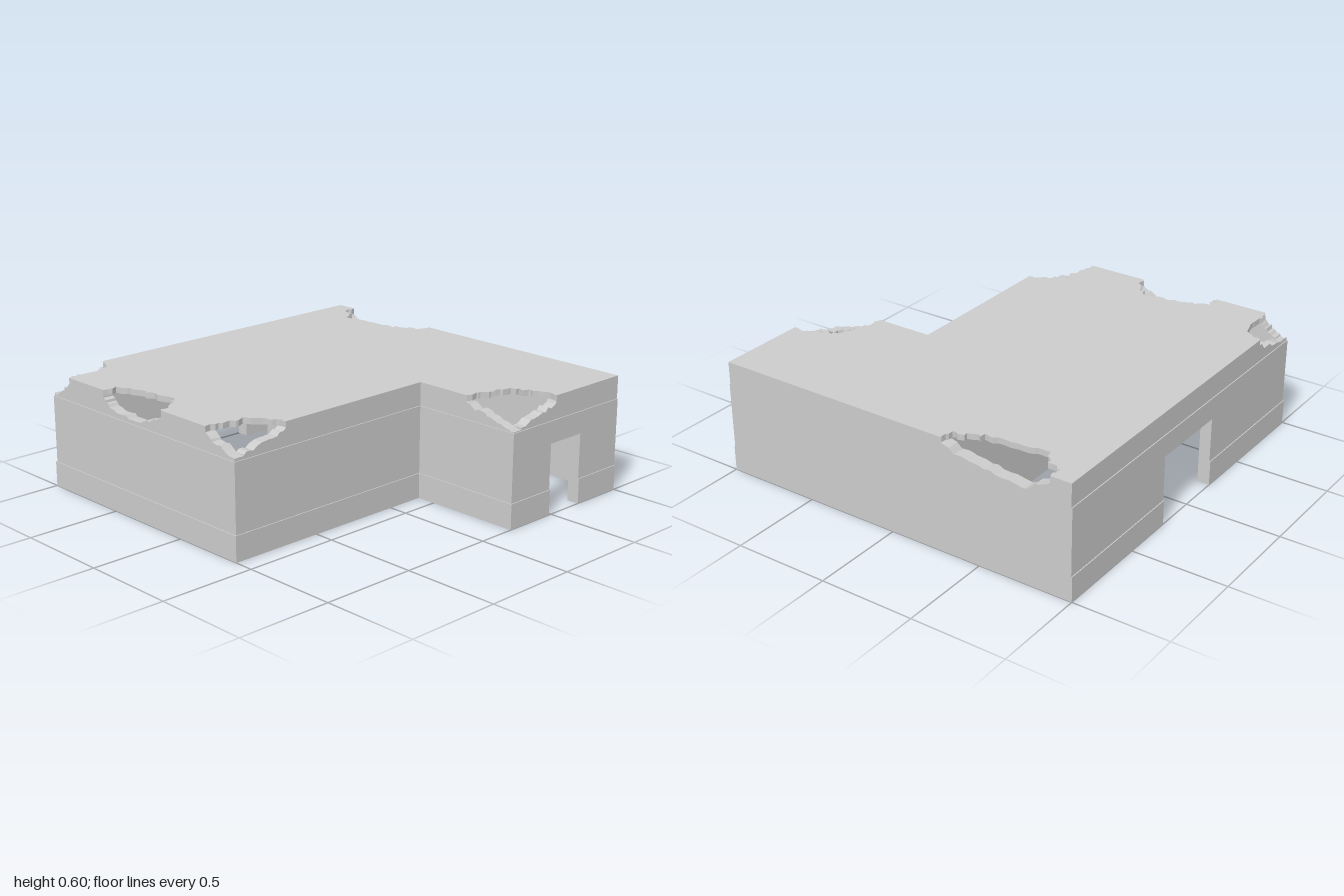
import * as THREE from 'three';

const THICK = 0.065, CEIL = 0.57, TOP = 0.6, DOOR_H = 0.365, LEDGE = 0.48;

export function createModel() {
  const group = new THREE.Group();
  const mat = new THREE.MeshStandardMaterial({ color: 0xcccccc, flatShading: true });

  let seed = 7;
  const noise = () => {
    seed = (seed * 16807) % 2147483647;
    return seed / 2147483647 - 0.5;
  };

  // Breaks a line of points into a ragged one; the end points stay put
  const ragged = (pts, amount, steps) => {
    const out = [];
    for (let i = 0; i < pts.length - 1; i++) {
      for (let k = 0; k < steps; k++) {
        const t = k / steps, fixed = i === 0 && k === 0;
        out.push(pts[i].map((v, a) => v + (pts[i + 1][a] - v) * t + (fixed ? 0 : noise() * amount)));
      }
    }
    out.push(pts[pts.length - 1]);
    return out;
  };

  const toShape = (pts) => new THREE.Shape(pts.map(([x, y]) => new THREE.Vector2(x, y)));

  const add = (name, geometry, parent = group) => {
    const mesh = new THREE.Mesh(geometry, mat);
    mesh.name = name;
    parent.add(mesh);
  };

  // Upright slab: outline in (length, height), thickness from d0 to d1 on the other axis
  const slab = (name, axis, pts, d0, d1, parent) => {
    const geo = new THREE.ExtrudeGeometry(toShape(pts), { depth: d1 - d0, bevelEnabled: false });
    if (axis === 'x') geo.translate(0, 0, d0);
    else geo.rotateY(-Math.PI / 2).translate(d1, 0, 0);
    add(name, geo, parent);
  };

  const rect = (a, b, y0, y1) => [[a, y0], [b, y0], [b, y1], [a, y1]];

  // Outer wall in three bands, each set back a little from the one below.
  // range(e) gives [start, end, depth0, depth1] for a set-back e; bites are broken stretches of the top edge
  const wall = (name, axis, range, { door, bites = [] } = {}) => {
    const g = new THREE.Group();
    g.name = name;
    group.add(g);

    let [a, b, d0, d1] = range(0);
    if (door) {
      slab('plinth', axis, rect(a, door[0], 0, 0.13), d0, d1, g);
      slab('plinth', axis, rect(door[1], b, 0, 0.13), d0, d1, g);
    } else slab('plinth', axis, rect(a, b, 0, 0.13), d0, d1, g);

    [a, b, d0, d1] = range(0.005);
    const mid = door
      ? [[a, 0.13], [door[0], 0.13], [door[0], DOOR_H], [door[1], DOOR_H], [door[1], 0.13], [b, 0.13], [b, LEDGE], [a, LEDGE]]
      : rect(a, b, 0.13, LEDGE);
    slab('wallFace', axis, mid, d0, d1, g);

    [a, b, d0, d1] = range(0.01);
    let top = [];
    for (const bite of bites) {
      const pts = bite.map(([u, y]) => [Math.min(b, Math.max(a, u)), y]);
      top.push(...ragged(pts, 0.018, 4).map(([u, y]) =>
        [Math.min(b, Math.max(a, u)), Math.min(CEIL, Math.max(LEDGE + 0.004, y))]));
    }
    if (!bites.length || top[0][0] > a + 1e-4) top.unshift([a, CEIL]);
    if (top[top.length - 1][0] < b - 1e-4) top.push([b, CEIL]);
    slab('brokenTopBand', axis, [[b, LEDGE], [a, LEDGE], ...top], d0, d1, g);
  };

  // Outer walls
  wall('frontWall', 'x', (e) => [-1 + e, 0.4 - e, 1 - THICK, 1 - e], {
    bites: [
      [[-1, 0.485], [-0.95, 0.5], [-0.9, 0.54], [-0.86, CEIL]],
      [[-0.58, CEIL], [-0.55, 0.53], [-0.46, 0.51], [-0.35, 0.5], [-0.24, 0.52], [-0.18, 0.545], [-0.13, CEIL]],
      [[0.19, CEIL], [0.23, 0.54], [0.31, 0.52], [0.4, 0.495]],
    ],
  });
  wall('backWall', 'x', (e) => [-1 + e, 1 - e, -1, -1 + THICK], {
    bites: [[[-0.88, CEIL], [-0.83, 0.53], [-0.74, 0.5], [-0.6, 0.51], [-0.45, 0.52], [-0.36, 0.54], [-0.3, CEIL]]],
  });
  wall('notchWall', 'x', (e) => [0.4 - THICK, 1 - e, -0.2 - THICK, -0.2 - e], {
    bites: [[[0.69, CEIL], [0.74, 0.545], [0.85, 0.52], [0.92, 0.5], [1, 0.485]]],
  });
  wall('longSideWall', 'z', (e) => [-1 + THICK, 1 - THICK, -1 + e, -1 + THICK], {
    door: [-0.22, 0.22],
    bites: [[[0.69, CEIL], [0.74, 0.54], [0.85, 0.515], [1 - THICK, 0.495]]],
  });
  wall('innerSideWall', 'z', (e) => [-0.2 - e, 1 - THICK, 0.4 - THICK, 0.4 - e], {
    bites: [[[0.68, CEIL], [0.74, 0.545], [0.85, 0.52], [1 - THICK, 0.5]]],
  });
  wall('shortSideWall', 'z', (e) => [-1 + THICK, -0.2 - THICK, 1 - THICK, 1 - e], {
    door: [-0.71, -0.485],
    bites: [[[-0.52, CEIL], [-0.46, 0.545], [-0.36, 0.52], [-0.2 - THICK, 0.495]]],
  });

  // Inside partition with a doorway
  slab('partitionLong', 'z', rect(-1 + THICK, 0.21, 0, CEIL), -0.27, -0.21);
  slab('partitionShort', 'x', [
    [-0.21, 0], [0.03, 0], [0.03, DOOR_H], [0.2, DOOR_H], [0.2, 0],
    [0.4 - THICK, 0], [0.4 - THICK, CEIL], [-0.21, CEIL],
  ], 0.15, 0.21);

  // Roof slab: L-shaped outline (x, z) with broken edges
  const R = 0.99;
  const rag = (pts) => ragged(pts, 0.026, 4);
  const outline = [
    [-R, -1],
    ...rag([[-0.88, -1], [-0.88, -0.935], [-0.82, -0.9], [-0.76, -0.84], [-0.7, -0.84], [-0.58, -0.86],
      [-0.45, -0.875], [-0.38, -0.91], [-0.31, -0.935], [-0.3, -1]]),
    [R, -1],
    ...rag([[R, -0.52], [0.9, -0.525], [0.86, -0.49], [0.78, -0.46], [0.73, -0.39], [0.73, -0.33], [0.7, -0.27], [0.69, -0.21]]),
    [0.39, -0.21],
    ...rag([[0.39, 0.68], [0.34, 0.685], [0.29, 0.72], [0.22, 0.79], [0.21, 0.9], [0.19, R]]),
    ...rag([[-0.13, R], [-0.15, 0.93], [-0.2, 0.87], [-0.23, 0.835], [-0.36, 0.85], [-0.5, 0.875], [-0.57, 0.92], [-0.58, R]]),
    ...rag([[-0.86, R], [-0.88, 0.92], [-0.87, 0.85], [-0.9, 0.73], [-R, 0.69]]),
  ];
  const roof = new THREE.ExtrudeGeometry(toShape(outline.map(([x, z]) => [x, -z])), { depth: TOP - CEIL, bevelEnabled: false });
  add('roof', roof.rotateX(-Math.PI / 2).translate(0, CEIL, 0));

  return group;
}
